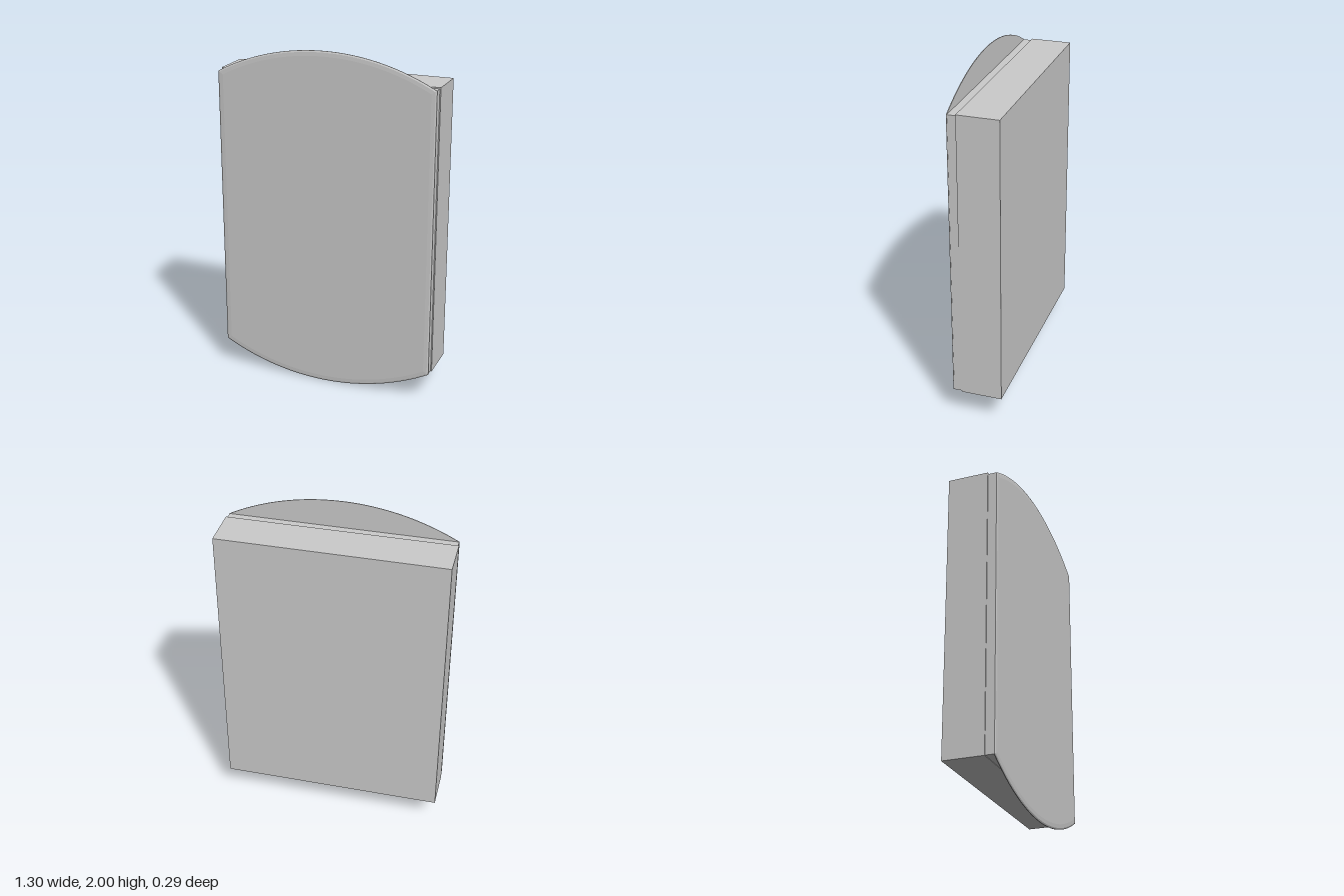
import * as THREE from 'three';

const HALF_W = 0.645, SIDE_LOW = 0.163, SIDE_HIGH = 1.837;

export function createModel() {
  const group = new THREE.Group();
  const material = new THREE.MeshStandardMaterial({ color: 0xcccccc, flatShading: true });

  function add(name, geometry) {
    const mesh = new THREE.Mesh(geometry, material);
    mesh.name = name;
    group.add(mesh);
  }

  function block(name, halfWidth, low, high, back, front) {
    const geometry = new THREE.BoxGeometry(halfWidth * 2, high - low, front - back);
    geometry.translate(0, (low + high) / 2, (front + back) / 2);
    add(name, geometry);
  }

  // Rear casing and the slightly narrower neck in front of it
  block('rearCasing', 0.649, 0.16, 1.845, -0.147, 0.09);
  block('frontNeck', 0.643, 0.163, 1.838, 0.09, 0.139);

  // Thin front panel: straight sides, bowed top and bottom
  const rise = 2 - SIDE_HIGH;
  const radius = (HALF_W ** 2 + rise ** 2) / (2 * rise);
  const half = Math.asin(HALF_W / radius);
  const up = Math.PI / 2;
  const outline = new THREE.Shape();
  outline.moveTo(HALF_W, SIDE_LOW);
  outline.lineTo(HALF_W, SIDE_HIGH);
  outline.absarc(0, 2 - radius, radius, up - half, up + half, false);
  outline.lineTo(-HALF_W, SIDE_LOW);
  outline.absarc(0, radius, radius, -up - half, -up + half, false);

  const panel = new THREE.ExtrudeGeometry(outline, {
    depth: 0.004, curveSegments: 32, bevelEnabled: true,
    bevelThickness: 0.005, bevelSize: 0.03, bevelOffset: -0.03, bevelSegments: 2,
  });
  // Flatten the bevel on the back, leaving only the soft front edge
  const pos = panel.attributes.position;
  for (let i = 0; i < pos.count; i++) pos.setZ(i, Math.max(pos.getZ(i), 0));
  panel.computeVertexNormals();
  panel.translate(0, 0, 0.138);
  add('frontPanel', panel);

  return group;
}
